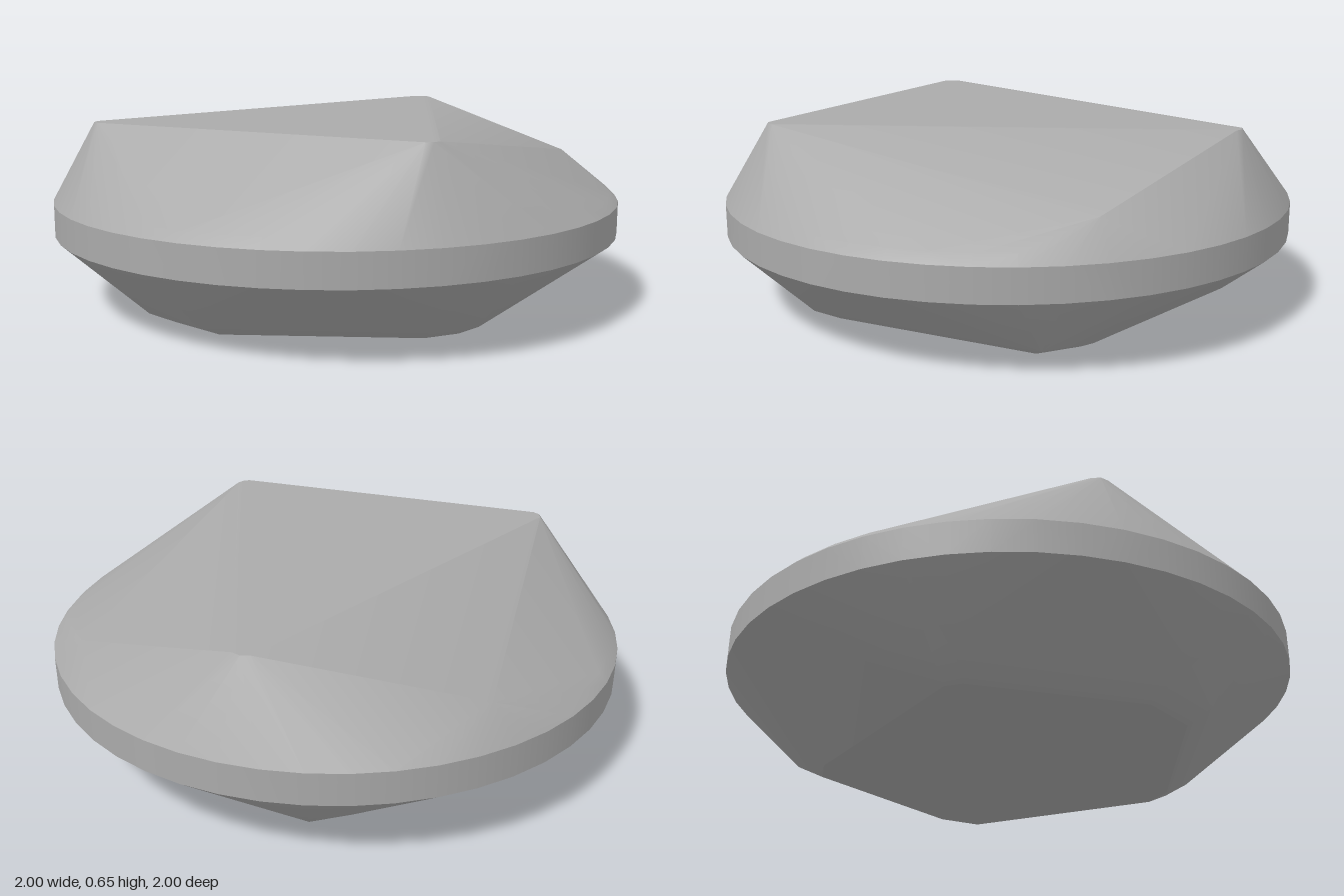
import * as THREE from 'three';
import { ConvexGeometry } from 'three/addons/geometries/ConvexGeometry.js';
import { toCreasedNormals } from 'three/addons/utils/BufferGeometryUtils.js';

export function createModel() {
  const model = new THREE.Group();
  const stoneGrey = new THREE.MeshStandardMaterial({ color: 0xaaaaaa });
  const points = [];
  const add = (x, y, z) => points.push(new THREE.Vector3(x, y, z));

  // Round girdle: upright band with a slightly softened upper shoulder
  const sides = 48;
  for (const [radius, y] of [[1, 0.26], [1, 0.37], [0.97, 0.4]]) {
    for (let i = 0; i < sides; i++) {
      const a = (i / sides) * Math.PI * 2;
      add(radius * Math.sin(a), y, radius * Math.cos(a));
    }
  }

  // Flat triangular table with slightly blunted corners
  for (const [x, z] of [
    [-0.615, 0.575], [-0.605, 0.605], [-0.58, 0.62],
    [0.6, 0.595], [0.62, 0.58], [0.63, 0.555],
    [-0.05, -0.845], [-0.02, -0.855], [0.01, -0.845],
  ]) add(x, 0.65, z);

  // Two lower crown corners at the back
  add(-0.71, 0.49, -0.59);
  add(0.65, 0.485, -0.65);

  // Uneven base outline with a small bevel down to the ground
  for (const [x, z] of [
    [0.66, -0.47], [0.52, -0.58], [-0.19, -0.76], [-0.3, -0.68],
    [-0.77, 0.12], [-0.76, 0.19], [-0.32, 0.71], [-0.08, 0.77],
    [0.6, 0.47], [0.69, 0.36],
  ]) {
    add(x, 0.045, z);
    add(x * 0.88, 0, z * 0.88);
  }

  // The faceted body is the hull of these outlines
  const body = new THREE.Mesh(toCreasedNormals(new ConvexGeometry(points), 0.42), stoneGrey);
  body.name = 'facetedStone';
  model.add(body);
  return model;
}
